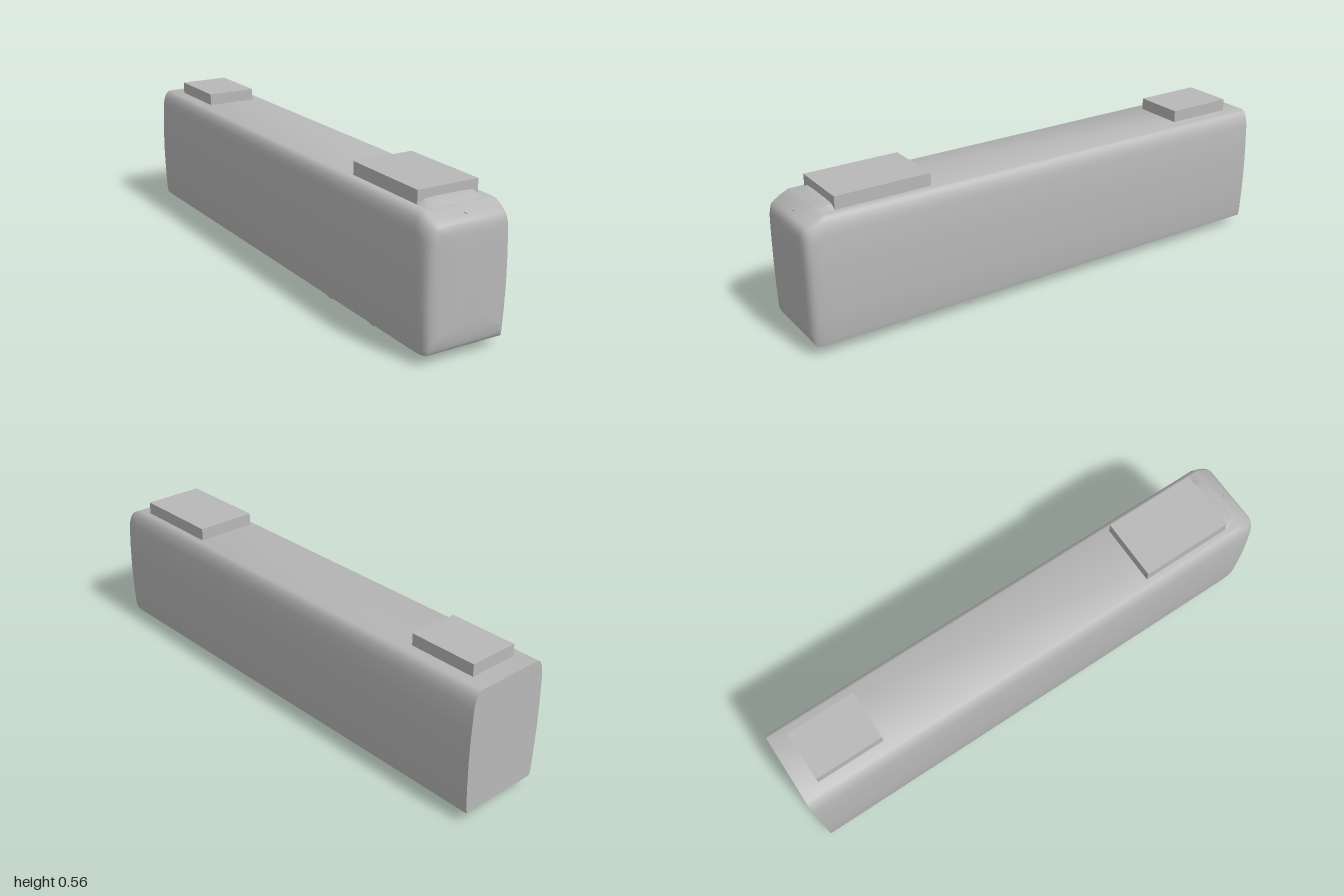
import * as THREE from 'three';
import { toCreasedNormals } from 'three/addons/utils/BufferGeometryUtils.js';

// Skin a list of equal-length rings (counter-clockwise seen from +z, ordered by rising z), with end caps.
function loft(rings, crease) {
  const n = rings[0].length, pos = [], idx = [];
  rings.forEach(r => r.forEach(p => pos.push(...p)));
  for (let s = 0; s < rings.length - 1; s++) {
    for (let i = 0; i < n; i++) {
      const a = s * n + i, b = s * n + (i + 1) % n;
      idx.push(a, b, b + n, a, b + n, a + n);
    }
  }
  [0, rings.length - 1].forEach(s => {
    const c = pos.length / 3, r = rings[s];
    pos.push(0, r.reduce((t, p) => t + p[1], 0) / n, r[0][2]);
    for (let i = 0; i < n; i++) {
      const a = s * n + i, b = s * n + (i + 1) % n;
      if (s) idx.push(c, a, b); else idx.push(c, b, a);
    }
  });
  const g = new THREE.BufferGeometry();
  g.setAttribute('position', new THREE.Float32BufferAttribute(pos, 3));
  g.setIndex(idx);
  return toCreasedNormals(g, crease);
}

// Mirror a right-hand half profile (bottom to top) into a closed outline.
const mirror = half => [...half, ...[...half].reverse().map(([x, y]) => [-x, y])];

export function createModel() {
  const group = new THREE.Group();
  const grey = new THREE.MeshStandardMaterial({ color: 0xb8b8b8 });
  grey.name = 'body grey';
  const add = (name, geometry, x = 0, y = 0, z = 0) => {
    const m = new THREE.Mesh(geometry, grey);
    m.name = name;
    m.position.set(x, y, z);
    group.add(m);
    return m;
  };

  // Car body: bulging sides, rounded roof edges, softly rounded nose
  const B = 0.04, T = 0.515;
  const section = mirror([
    [0.163, 0.04], [0.167, 0.06], [0.172, 0.15], [0.175, 0.25], [0.174, 0.35], [0.170, 0.45],
    [0.166, 0.475], [0.160, 0.493], [0.152, 0.507], [0.140, T]
  ]);
  const stations = [ // z, width scale, bottom, top
    [-1, 1, B, T], [0.915, 1, B, T], [0.945, 0.99, B, 0.501], [0.965, 0.965, B, 0.491],
    [0.977, 0.935, 0.042, 0.485], [0.985, 0.895, 0.055, 0.479], [0.991, 0.84, 0.075, 0.47],
    [0.995, 0.74, 0.092, 0.458], [0.998, 0.52, 0.11, 0.44], [1, 0.25, 0.14, 0.40]
  ];
  add('carBody', loft(stations.map(([z, w, b, t]) =>
    section.map(([x, y]) => [x * w, b + (y - B) / (T - B) * (t - b), z])), 0.6));

  // Sloped fairing ahead of the front roof unit
  const hump = mirror([[0.125, 0], [0.113, 0.35], [0.098, 0.85], [0.05, 1]]);
  const fairing = [[0.80, 1, 0.022], [0.868, 1, 0.02], [0.89, 0.97, 0.013], [0.918, 0.92, 0.001]];
  add('roofFairing', loft(fairing.map(([z, w, h]) =>
    hump.map(([x, y]) => [x * w, 0.513 + y * h, z])), 0.5));

  // Roof equipment boxes
  add('frontRoofUnit', new THREE.BoxGeometry(0.244, 0.05, 0.37), 0, 0.539, 0.677);
  add('rearRoofUnit', new THREE.BoxGeometry(0.2, 0.047, 0.27), 0, 0.5375, -0.792);

  // Small marker lamp above the nose
  const lamp = add('markerLamp', new THREE.CylinderGeometry(0.006, 0.006, 0.004, 16), 0, 0.4965, 0.957);
  lamp.rotation.x = 0.45;

  // Wheels of the front bogie
  for (const z of [0.62, 0.345]) {
    for (const x of [-0.115, 0.115]) {
      const wheel = new THREE.CylinderGeometry(0.042, 0.042, 0.014, 16).rotateZ(Math.PI / 2);
      add('wheel', wheel, x, 0.042, z);
    }
  }
  return group;
}
